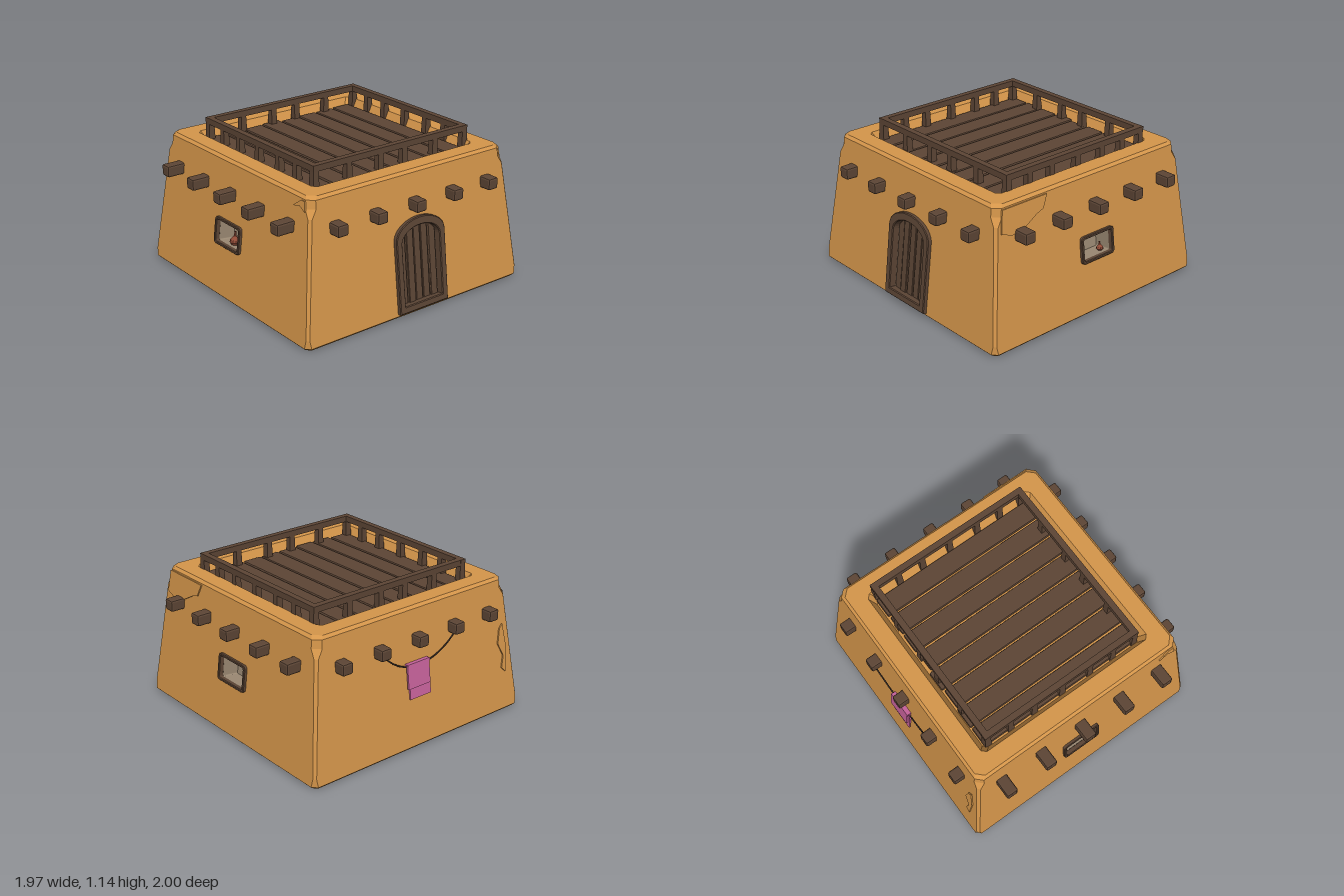
import * as THREE from 'three';
import { RoundedBoxGeometry } from 'three/addons/geometries/RoundedBoxGeometry.js';

const mat = (color) => new THREE.MeshStandardMaterial({ color, flatShading: true, side: THREE.DoubleSide });
const clay = mat(0xd4954a), wood = mat(0x5c4535), inside = mat(0x9c8a74);
const pottery = mat(0x8f4a36), cloth = mat(0xc7629b), ropeMat = mat(0x43342a);

const ZC = -0.012, Y0 = 0.02, SLOPE = 0.118, TILT = Math.atan(SLOPE);
const halfAt = (y) => 0.97 - SLOPE * (y - Y0);
const alongWall = (y) => (y - Y0) / Math.cos(TILT);

let seed = 7;
const rand = () => (seed = (seed * 16807) % 2147483647) / 2147483647;

function add(parent, name, geometry, material, x = 0, y = 0, z = 0) {
  const m = new THREE.Mesh(geometry, material);
  m.name = name;
  m.position.set(x, y, z);
  parent.add(m);
  return m;
}
const box = (w, h, d) => new THREE.BoxGeometry(w, h, d);
const extrude = (shape, depth, bevel = 0) => new THREE.ExtrudeGeometry(shape, {
  depth, curveSegments: 10, bevelEnabled: bevel > 0, bevelSize: bevel, bevelThickness: bevel, bevelSegments: 1, bevelOffset: -bevel,
});

// Outline helpers in wall coordinates
function archPath(Type, cx, half, bottom, spring, top) {
  const p = new Type();
  p.moveTo(cx - half, bottom);
  p.lineTo(cx + half, bottom);
  p.lineTo(cx + half, spring);
  p.absellipse(cx, spring, half, top - spring, 0, Math.PI, false);
  p.lineTo(cx - half, bottom);
  return p;
}
function roundRect(Type, cx, cy, w, h, r) {
  const p = new Type(), x = cx - w / 2, y = cy - h / 2;
  p.moveTo(x + r, y);
  p.lineTo(x + w - r, y); p.quadraticCurveTo(x + w, y, x + w, y + r);
  p.lineTo(x + w, y + h - r); p.quadraticCurveTo(x + w, y + h, x + w - r, y + h);
  p.lineTo(x + r, y + h); p.quadraticCurveTo(x, y + h, x, y + h - r);
  p.lineTo(x, y + r); p.quadraticCurveTo(x, y, x + r, y);
  return p;
}
const polygon = (pts) => new THREE.Shape(pts.map(([u, y]) => new THREE.Vector2(u, alongWall(y))));

// Wall levels: height and worn-corner width
const wallLevels = [[0.02, 0.035], [0.08, 0.018], [0.88, 0.02], [0.94, 0.05], [1.0, 0.045]];

// Base, corner strips, parapet and sunken roof as chamfered square rings
function shellGeometry() {
  const levels = [[0.95, 0, 0.03], ...wallLevels.map(([y, c]) => [halfAt(y), y, c]),
    [0.835, 1.02, 0.05], [0.71, 1.02, 0.03], [0.67, 0.94, 0.03]];
  const rings = levels.map(([h, y, c]) => {
    const ring = [];
    for (let k = 0; k < 4; k++) for (const u of [c - h, h - c]) {
      ring.push(new THREE.Vector3(u, y, h).applyAxisAngle(new THREE.Vector3(0, 1, 0), k * Math.PI / 2));
    }
    return ring;
  });
  const pts = [];
  for (let l = 0; l < rings.length - 1; l++) for (let i = 0; i < 8; i++) {
    if (l >= 1 && l < wallLevels.length && i % 2 === 0) continue; // flat walls are separate
    const j = (i + 1) % 8, a = rings[l], b = rings[l + 1];
    pts.push(a[i], a[j], b[j], a[i], b[j], b[i]);
  }
  const first = rings[0], last = rings[rings.length - 1];
  for (let i = 1; i < 7; i++) pts.push(first[0], first[i + 1], first[i], last[0], last[i], last[i + 1]);
  const g = new THREE.BufferGeometry().setFromPoints(pts);
  g.computeVertexNormals();
  return g;
}

// One sloping wall; returns its upright group and its tilted face group
function wall(parent, name, k, holes) {
  const side = new THREE.Group(), face = new THREE.Group();
  side.name = name;
  side.position.z = ZC;
  side.rotation.y = k * Math.PI / 2;
  face.name = name + 'Face';
  face.position.set(0, Y0, 0.97);
  face.rotation.x = -TILT;
  const right = wallLevels.map(([y, c]) => [halfAt(y) - c, y]);
  const left = right.map(([u, y]) => [-u, y]).reverse();
  const shape = polygon([...right, ...left]);
  shape.holes.push(...holes);
  add(face, name + 'Plaster', new THREE.ShapeGeometry(shape, 10), clay);
  side.add(face);
  parent.add(side);
  return { side, face };
}

// Beam ends poking out of a wall
function beams(side, offsets, reach) {
  for (const u of offsets) add(side, 'beamEnd', new RoundedBoxGeometry(0.088, 0.085, 0.2, 1, 0.014), wood, u, 0.79, reach - 0.1);
}

function pot(parent, u, y, w, r, h) {
  const profile = [[0, 0], [0.6, 0], [1, 0.2], [0.9, 0.4], [0.3, 0.65], [0.18, 0.9], [0.25, 1]];
  add(parent, 'pot', new THREE.LatheGeometry(profile.map(([x, t]) => new THREE.Vector2(x * r, t * h)), 10), pottery, u, y, w);
}

const WIN_Y = alongWall(0.49);
function windowParts(face, cx) {
  const frame = roundRect(THREE.Shape, cx, WIN_Y, 0.31, 0.2, 0.03);
  frame.holes.push(roundRect(THREE.Path, cx, WIN_Y, 0.265, 0.16, 0.015));
  add(face, 'windowFrame', extrude(frame, 0.03, 0.005), wood, 0, 0, -0.012);
  const niche = roundRect(THREE.Shape, cx, WIN_Y, 0.285, 0.18, 0.01);
  const rim = roundRect(THREE.Path, cx, WIN_Y, 0.27, 0.165, 0.01);
  add(face, 'nicheBack', new THREE.ShapeGeometry(niche), inside, 0, 0, -0.14);
  niche.holes.push(rim);
  add(face, 'nicheSides', extrude(niche, 0.13), inside, 0, 0, -0.14);
}

function door(face, cx) {
  const arch = (T, half, b, s, t) => archPath(T, cx, half, alongWall(b), alongWall(s), alongWall(t));
  const frame = arch(THREE.Shape, 0.22, 0.035, 0.555, 0.695);
  frame.holes.push(arch(THREE.Path, 0.17, 0.085, 0.53, 0.635));
  add(face, 'doorFrame', extrude(frame, 0.05, 0.006), wood, 0, 0, -0.025);
  const back = arch(THREE.Shape, 0.19, 0.06, 0.54, 0.655);
  add(face, 'doorwayBack', new THREE.ShapeGeometry(back), inside, 0, 0, -0.08);
  back.holes.push(arch(THREE.Path, 0.172, 0.08, 0.535, 0.637));
  add(face, 'doorwaySides', extrude(back, 0.07), inside, 0, 0, -0.08);
  // upright boards trimmed to the arch
  const top = (d) => 0.53 + 0.105 * Math.sqrt(Math.max(0, 1 - (d / 0.172) ** 2));
  for (let i = 0; i < 5; i++) {
    const a = -0.165 + i * 0.067, b = a + 0.06;
    const board = polygon([[a, 0.08], [b, 0.08], [b, top(b)], [(a + b) / 2, top((a + b) / 2)], [a, top(a)]]);
    add(face, 'doorBoard', extrude(board, 0.025, 0.004), wood, cx, 0, -0.05 + rand() * 0.01);
  }
}

// Roof boards and railing
function roof(parent) {
  for (let i = 0; i < 8; i++) {
    const p = add(parent, 'roofBoard', new RoundedBoxGeometry(1.3 + rand() * 0.03, 0.035, 0.152, 1, 0.01), wood,
      (rand() - 0.5) * 0.02, 0.957 + rand() * 0.006, -0.598 + i * 0.167);
    p.rotation.y = (rand() - 0.5) * 0.012;
  }
  const x0 = -0.635, x1 = 0.618, z0 = -0.705, z1 = 0.63, y = 1.113;
  for (const z of [z0, z1]) add(parent, 'rail', box(1.3, 0.045, 0.045), wood, -0.009, y, z);
  for (const x of [x0, x1]) add(parent, 'rail', box(0.045, 0.045, z1 - z0), wood, x, y, (z0 + z1) / 2);
  const post = new THREE.CylinderGeometry(0.03, 0.037, 0.16, 4).rotateY(Math.PI / 4);
  for (const z of [z0, z1]) for (const x of [x0, -0.445, -0.245, -0.01, 0.23, 0.43, x1]) add(parent, 'railPost', post, wood, x, 1.02, z);
  for (const x of [x0, x1]) for (const z of [0.35, 0.075, -0.14, -0.42]) add(parent, 'railPost', post, wood, x, 1.02, z);
}

export function createModel() {
  const house = new THREE.Group();
  house.name = 'clayHouse';
  add(house, 'shell', shellGeometry(), clay, 0, 0, ZC);

  const winHole = (cx) => roundRect(THREE.Path, cx, WIN_Y, 0.28, 0.175, 0.01);
  const DOOR = 0.03;
  const front = wall(house, 'frontWall', 0, [winHole(-0.01)]);
  const left = wall(house, 'doorWall', 1, [archPath(THREE.Path, DOOR, 0.185, alongWall(0.06), alongWall(0.54), alongWall(0.65))]);
  const back = wall(house, 'backWall', 2, [winHole(0.01)]);
  const right = wall(house, 'clothWall', 3, []);

  const across = [-0.68, -0.345, -0.005, 0.335, 0.67];
  const along = [-0.675, -0.343, -0.003, 0.337, 0.672];
  beams(front.side, across, 1.012);
  beams(back.side, across.map((x) => -x), 0.988);
  beams(left.side, along.map((z) => -z), 0.97);
  beams(right.side, along, 0.96);

  windowParts(front.face, -0.01);
  windowParts(back.face, 0.01);
  const sill = WIN_Y - 0.084;
  pot(front.face, -0.02, sill, -0.06, 0.036, 0.1);
  pot(front.face, -0.065, sill, -0.09, 0.022, 0.06);
  pot(back.face, 0.1, sill, -0.06, 0.026, 0.065);
  door(left.face, DOOR);
  roof(house);

  // Cracked plaster patches
  const patch = (face, pts) => add(face, 'plasterPatch', extrude(polygon(pts), 0.012), clay, 0, 0, -0.002);
  patch(back.face, [[-0.83, 0.83], [-0.74, 0.8], [-0.62, 0.825], [-0.52, 0.88], [-0.46, 0.9], [-0.42, 0.99], [-0.81, 0.99]]);
  patch(right.face, [[0.84, 0.3], [0.8, 0.34], [0.82, 0.43], [0.77, 0.53], [0.79, 0.64], [0.82, 0.67], [0.85, 0.5]]);
  patch(front.face, [[0.69, 0.93], [0.76, 0.95], [0.82, 0.92], [0.81, 0.99], [0.77, 0.99]]);

  // Drying line with a folded cloth
  const line = new THREE.CatmullRomCurve3([[-0.925, 0.77, -0.365], [-0.918, 0.67, -0.24], [-0.915, 0.62, -0.13],
    [-0.915, 0.615, 0.06], [-0.918, 0.67, 0.2], [-0.925, 0.77, 0.315]].map((p) => new THREE.Vector3(...p)));
  add(house, 'dryingLine', new THREE.TubeGeometry(line, 24, 0.006, 5), ropeMat);
  add(right.face, 'clothFrontFold', box(0.2, 0.17, 0.014), cloth, -0.03, alongWall(0.545), 0.028);
  add(right.face, 'clothBackFold', box(0.19, 0.25, 0.012), cloth, -0.01, alongWall(0.5), 0.012);
  add(right.face, 'clothTopFold', box(0.2, 0.02, 0.034), cloth, -0.025, alongWall(0.627), 0.018);
  return house;
}
